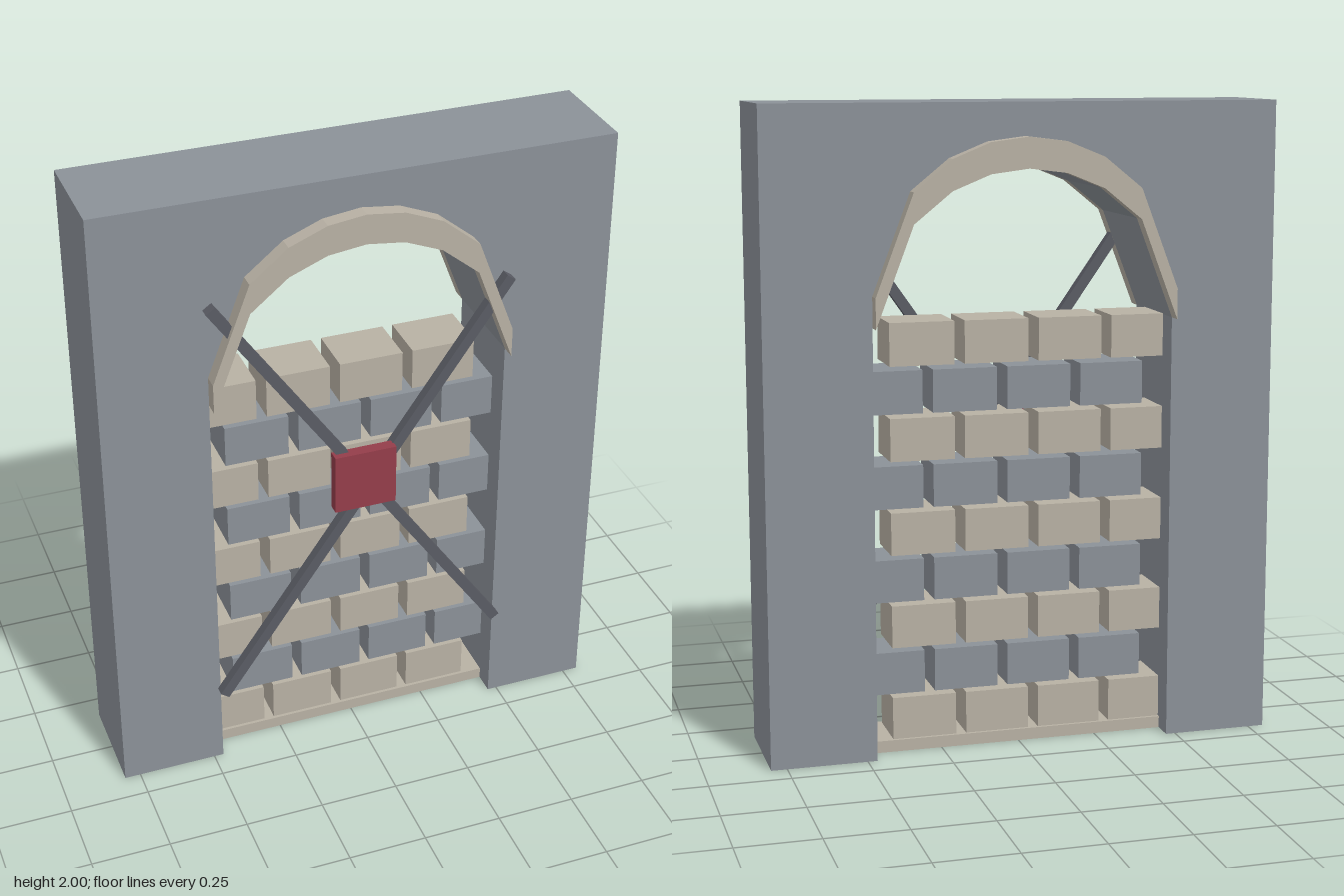
import * as THREE from 'three';

const material = (name, color) => {
  const m = new THREE.MeshStandardMaterial({ color });
  m.name = name;
  return m;
};

export function createModel() {
  const group = new THREE.Group();
  const grey = material('grey stone', 0x8b9198);
  const tan = material('tan stone', 0xb8b1a4);
  const iron = material('dark iron', 0x5a5c64);
  const red = material('red seal', 0x943d4a);

  const add = (name, geometry, mat, x = 0, y = 0, z = 0, parent = group) => {
    const mesh = new THREE.Mesh(geometry, mat);
    mesh.name = name;
    mesh.position.set(x, y, z);
    parent.add(mesh);
    return mesh;
  };
  const extrude = (points, depth) =>
    new THREE.ExtrudeGeometry(new THREE.Shape(points), { depth, bevelEnabled: false });

  // Arch curve: eight facets evenly spaced across the opening
  const half = 0.47, spring = 1.34, midZ = -0.003;
  const arch = [];
  for (let i = -4; i <= 4; i++) {
    const t = i / 4;
    arch.push(new THREE.Vector2(half * t, spring + 0.465 * Math.sqrt(1 - t * t)));
  }

  // Wall with an arched doorway open at the bottom
  const wallDepth = 0.33;
  const outline = [
    [half, 0], [0.8, 0], [0.8, 2], [-0.8, 2], [-0.8, 0], [-half, 0],
  ].map(([x, y]) => new THREE.Vector2(x, y));
  add('wall', extrude([...outline, ...arch], wallDepth), grey, 0, 0, midZ - wallDepth / 2);

  // Arch trim standing proud of both wall faces
  const raised = arch.map((p) => new THREE.Vector2(p.x, p.y + 0.094)).reverse();
  const trim = extrude([...arch, ...raised], 0.048);
  add('frontArchTrim', trim, tan, 0, 0, midZ + wallDepth / 2);
  add('backArchTrim', trim, tan, 0, 0, midZ - wallDepth / 2 - 0.048);

  // Sill
  add('sill', new THREE.BoxGeometry(half * 2, 0.037, 0.19), tan, 0, 0.0185, midZ);

  // Staggered bricks, cut off where they meet the jambs
  const bricks = new THREE.Group();
  bricks.name = 'bricks';
  group.add(bricks);
  for (let row = 0; row < 9; row++) {
    const odd = row % 2;
    for (let i = 0; i < 4; i++) {
      const centre = (odd ? -0.302 : -0.402) + i * 0.2345;
      const x0 = Math.max(centre - 0.101, -half);
      const x1 = Math.min(centre + 0.101, half);
      add('brick', new THREE.BoxGeometry(x1 - x0, 0.133, 0.17), odd ? grey : tan,
        (x0 + x1) / 2, 0.037 + row * 0.1466 + 0.0665, midZ, bricks);
    }
  }

  // Crossed bars over the front
  const bar = new THREE.BoxGeometry(1.625, 0.033, 0.032);
  const slope = Math.atan2(1.33, 0.93);
  add('risingBar', bar, iron, 0, 0.937, 0.179).rotation.z = slope;
  add('fallingBar', bar, iron, 0, 1.003, 0.179).rotation.z = -slope;

  // Square plate at the crossing
  add('sealPlate', new THREE.BoxGeometry(0.197, 0.197, 0.038), red, 0, 1.003, 0.197);

  return group;
}
